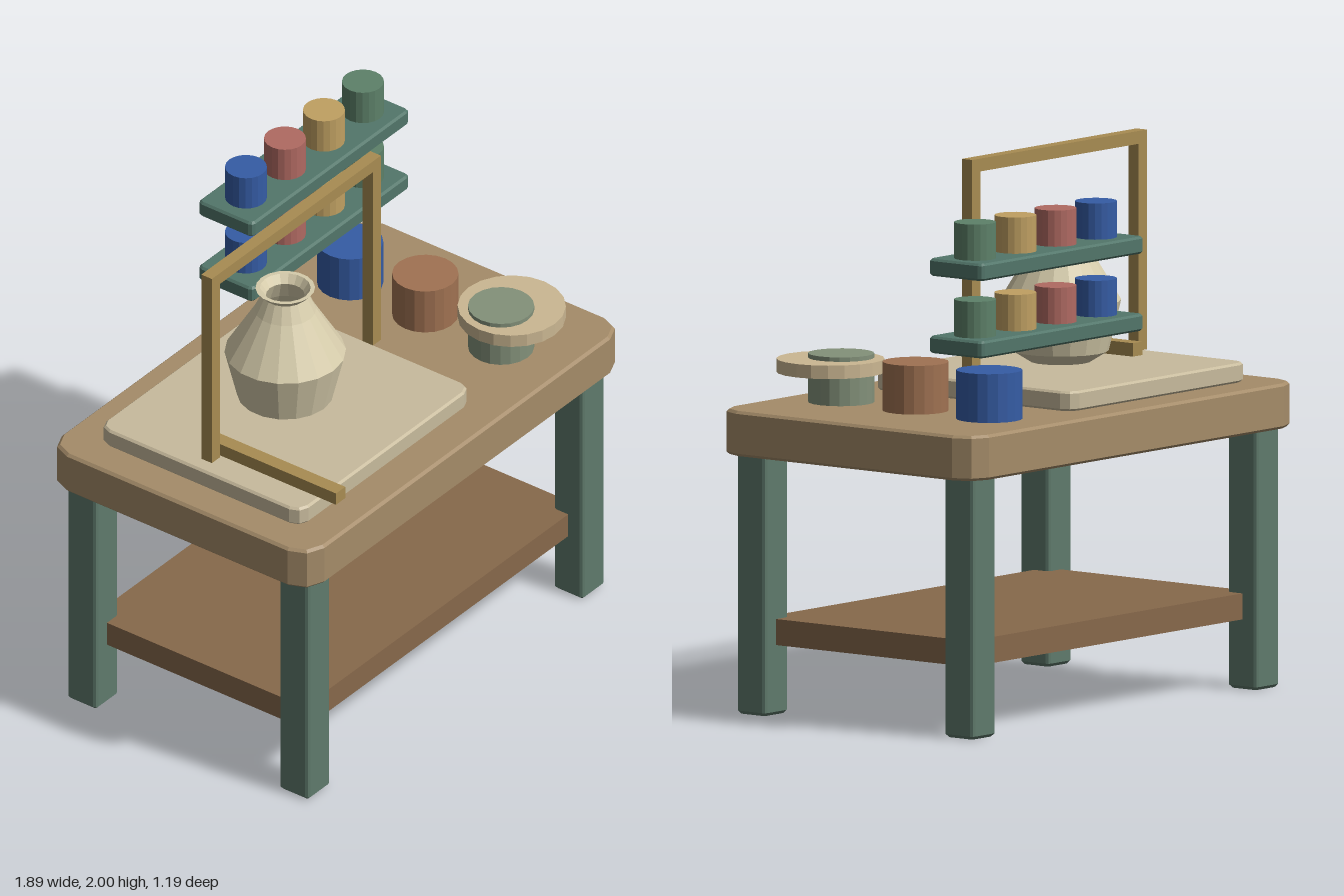
import * as THREE from 'three';

const mat = (color, extra = {}) => new THREE.MeshStandardMaterial({ color, flatShading: true, ...extra });
const wood = mat(0xa58c69), green = mat(0x5f7a6c), shelfWood = mat(0x87694b), stone = mat(0xc8bb9d);
const clay = mat(0xd6ccab, { side: THREE.DoubleSide }), brass = mat(0xa88c52), rackGreen = mat(0x52766a);
const blue = mat(0x355ca5), red = mat(0xb06a62), yellow = mat(0xc0a062), leaf = mat(0x5d8169);
const terracotta = mat(0xa07252), sage = mat(0x83917a), tan = mat(0xcbb792);

export function createModel() {
  const model = new THREE.Group();

  const add = (name, geometry, material, x, y, z) => {
    const mesh = new THREE.Mesh(geometry, material);
    mesh.name = name;
    mesh.position.set(x, y, z);
    model.add(mesh);
    return mesh;
  };

  // Box given by its minimum and maximum corners
  const box = (name, m, [x0, y0, z0], [x1, y1, z1]) =>
    add(name, new THREE.BoxGeometry(x1 - x0, y1 - y0, z1 - z0), m, (x0 + x1) / 2, (y0 + y1) / 2, (z0 + z1) / 2);

  // Slab with cut corners and a fine bevel; c = corner cut, b = bevel
  const slab = (name, m, [x0, y0, z0], [x1, y1, z1], c, b) => {
    const hx = (x1 - x0) / 2, hz = (z1 - z0) / 2, k = c * 0.3;
    const corner = [[hx, hz - c], [hx - k, hz - k], [hx - c, hz]];
    const points = [];
    for (const [sx, sz] of [[1, 1], [-1, 1], [-1, -1], [1, -1]]) {
      const ordered = sx * sz > 0 ? corner : [...corner].reverse();
      ordered.forEach(([x, z]) => points.push(new THREE.Vector2(x * sx, z * sz)));
    }
    const geometry = new THREE.ExtrudeGeometry(new THREE.Shape(points), {
      depth: y1 - y0 - 2 * b, bevelSize: b, bevelThickness: b, bevelOffset: -b, bevelSegments: 1,
    });
    geometry.rotateX(-Math.PI / 2);
    return add(name, geometry, m, (x0 + x1) / 2, y0 + b, (z0 + z1) / 2);
  };

  const jar = (name, m, x, z, r, y0, y1, sides = 20) =>
    add(name, new THREE.CylinderGeometry(r, r, y1 - y0, sides), m, x, (y0 + y1) / 2, z);

  // Table
  slab('tableTop', wood, [-0.945, 0.95, -0.597], [0.945, 1.115, 0.597], 0.095, 0.01);
  for (const sx of [-1, 1]) for (const sz of [-1, 1]) {
    const x = sx * 0.817, z = sz * 0.482, h = 0.067;
    slab('leg', green, [x - h, 0, z - h], [x + h, 0.96, z + h], 0.014, 0.012);
  }
  box('lowerShelf', shelfWood, [-0.82, 0.255, -0.483], [0.82, 0.35, 0.483]);

  // Work board
  slab('workBoard', stone, [-0.815, 1.115, -0.46], [0.21, 1.187, 0.46], 0.05, 0.008);

  // Vase with an open neck and an inner wall
  const profile = [
    [0, 1.205], [0.11, 1.205], [0.175, 1.245], [0.22, 1.43], [0.112, 1.61], [0.082, 1.675],
    [0.108, 1.703], [0.092, 1.703], [0.07, 1.672], [0.1, 1.6], [0.2, 1.43], [0.155, 1.26], [0, 1.225],
  ].map(([r, y]) => new THREE.Vector2(r, y));
  add('vase', new THREE.LatheGeometry(profile, 18), clay, -0.302, 0, 0);

  // Tall frame over the board
  for (const x of [-0.77, 0.189]) box('framePost', brass, [x, 1.198, -0.024], [x + 0.047, 1.96, 0.024]);
  box('frameBeam', brass, [-0.77, 1.953, -0.024], [0.236, 2, 0.024]);

  // Tool lying on the board
  box('toolBar', brass, [-0.7, 1.188, -0.06], [-0.645, 1.237, 0.535]);

  // Large pots on the table
  jar('bluePot', blue, 0.555, -0.36, 0.12, 1.122, 1.3);
  jar('terracottaPot', terracotta, 0.555, -0.018, 0.12, 1.122, 1.3);
  jar('sagePot', sage, 0.555, 0.327, 0.12, 1.122, 1.3);
  jar('potCollar', tan, 0.597, 0.343, 0.196, 1.235, 1.284);

  // Two racks of small jars
  for (const [bottom, top, jarTop] of [[1.39, 1.452, 1.585], [1.672, 1.735, 1.867]]) {
    slab('rack', rackGreen, [-0.087, bottom, -0.565], [0.853, top, -0.314], 0.02, 0.008);
    [blue, red, yellow, leaf].forEach((m, i) =>
      jar('smallJar', m, 0.04 + i * 0.232, -0.44, 0.076, top - 0.003, jarTop));
  }

  return model;
}
